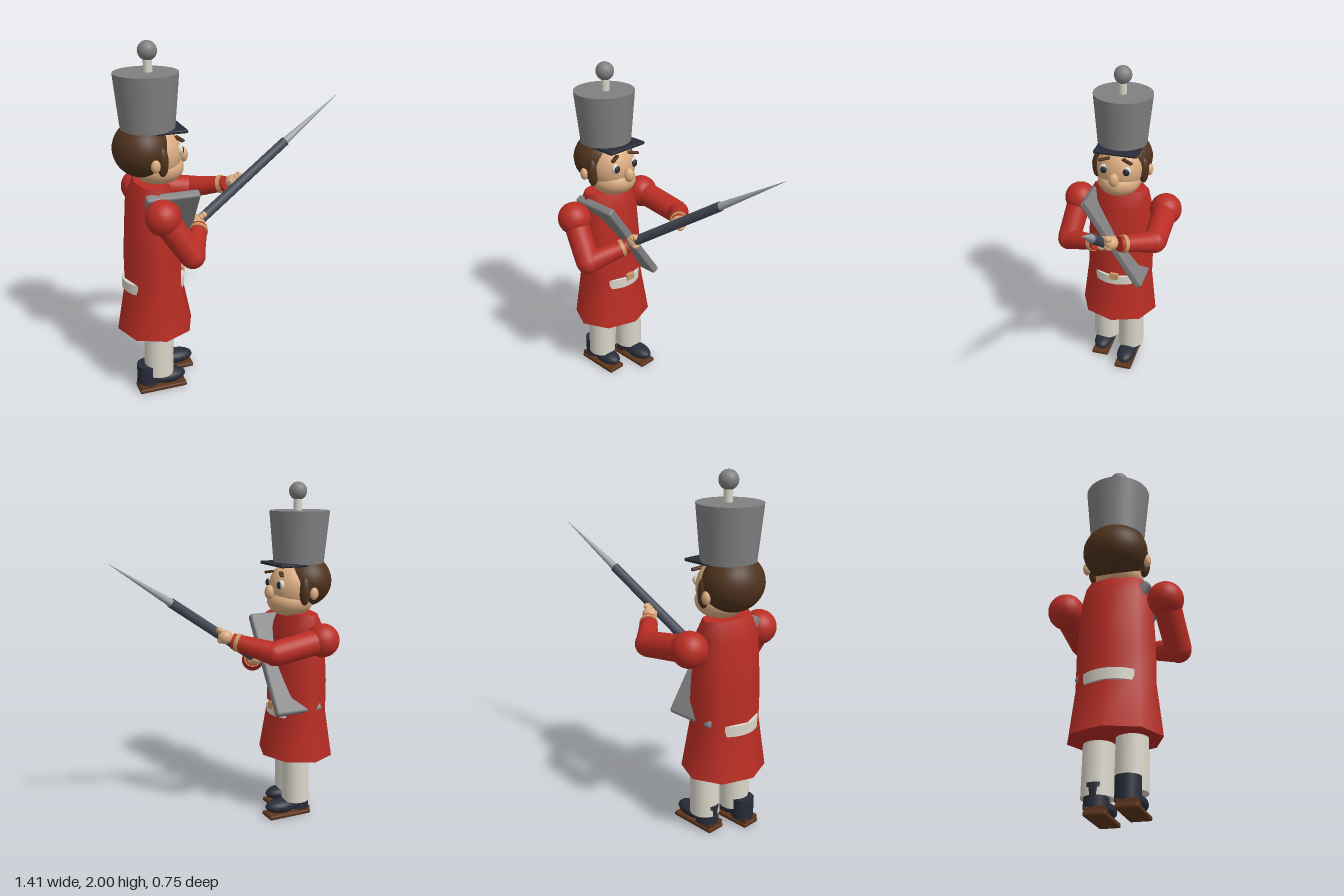
import * as THREE from 'three';
import { RoundedBoxGeometry } from 'three/addons/geometries/RoundedBoxGeometry.js';

const mat = (name, color) => {
  const m = new THREE.MeshStandardMaterial({ color });
  m.name = name;
  return m;
};

export function createModel() {
  const red = mat('coat red', 0xb92d24);
  const grey = mat('felt grey', 0x808080);
  const cream = mat('cream cloth', 0xd9d5c9);
  const skin = mat('skin', 0xdaab80);
  const brown = mat('hair brown', 0x4e321d);
  const navy = mat('dark leather', 0x282c38);
  const iron = mat('barrel iron', 0x454b57);
  const steel = mat('blade steel', 0xa3a8ad);
  const wood = mat('sole brown', 0x5c351c);
  const gold = mat('buckle tan', 0xc99862);

  const root = new THREE.Group();
  root.name = 'toySoldier';
  const V = (a) => new THREE.Vector3(...a);

  function add(name, geo, material, pos = [0, 0, 0], parent = root) {
    const m = new THREE.Mesh(geo, material);
    m.name = name;
    m.position.set(...pos);
    parent.add(m);
    return m;
  }
  const ball = (name, material, pos, rx, ry = rx, rz = rx, parent = root) => {
    const m = add(name, new THREE.SphereGeometry(1, 28, 18), material, pos, parent);
    m.scale.set(rx, ry, rz);
    return m;
  };
  // Round rod from point a (radius ra) to point b (radius rb)
  function rod(name, material, a, b, ra, rb, parent = root) {
    const d = V(b).sub(V(a));
    const mid = V(a).addScaledVector(d, 0.5);
    const m = add(name, new THREE.CylinderGeometry(rb, ra, d.length(), 24), material, mid.toArray(), parent);
    m.quaternion.setFromUnitVectors(new THREE.Vector3(0, 1, 0), d.normalize());
    return m;
  }

  // Coat: eight-sided elliptical sections [y, half depth, half width]
  const sections = [[0.376, 0.22, 0.246], [0.66, 0.167, 0.212], [0.85, 0.165, 0.212],
    [1.15, 0.143, 0.195], [1.25, 0.09, 0.17]];
  const sides = 8, pts = [], index = [];
  sections.forEach(([y, rx, rz]) => {
    for (let i = 0; i < sides; i++) {
      const t = (i / sides) * Math.PI * 2;
      pts.push(-0.489 + rx * Math.cos(t), y, rz * Math.sin(t));
    }
  });
  for (let r = 0; r < sections.length - 1; r++) {
    for (let i = 0; i < sides; i++) {
      const a = r * sides + i, b = r * sides + (i + 1) % sides;
      index.push(a, a + sides, b, b, a + sides, b + sides);
    }
  }
  const coat = new THREE.BufferGeometry();
  coat.setAttribute('position', new THREE.Float32BufferAttribute(pts, 3));
  coat.setIndex(index);
  coat.computeVertexNormals();
  add('coat', coat, red);
  const cap = (name, s, flip) => {
    const c = add(name, new THREE.CircleGeometry(1, sides), red, [-0.489, s[0], 0]);
    c.rotation.x = flip * Math.PI / 2;
    c.scale.set(s[1], s[2], 1);
  };
  cap('coatHem', sections[0], 1);
  cap('coatCollar', sections[4], -1);

  // Belt shows at the chest and back only
  const belt = add('belt', new THREE.CylinderGeometry(1, 1, 0.06, 40), cream, [-0.491, 0.66, 0]);
  belt.scale.set(0.177, 1, 0.182);
  add('buckle', new RoundedBoxGeometry(0.02, 0.045, 0.055, 2, 0.005), gold, [-0.317, 0.69, -0.005]);

  // Legs and shoes, the left one a step ahead
  for (const [side, x, z] of [['right', -0.5, 0.09], ['left', -0.445, -0.095]]) {
    const leg = new THREE.Group();
    leg.name = side + 'Leg';
    root.add(leg);
    rod('trouser', cream, [x, 0.1, z], [x + 0.01, 0.5, z], 0.084, 0.08, leg);
    const s = side === 'right' ? -0.49 : -0.39;
    add('sole', new RoundedBoxGeometry(0.28, 0.025, 0.112, 2, 0.008), wood, [s, 0.014, z + 0.008], leg);
    add('heel', new THREE.BoxGeometry(0.07, 0.025, 0.1), wood, [s - 0.1, 0.037, z + 0.008], leg);
    rod('bootShaft', navy, [s - 0.075, 0.045, z], [s - 0.075, 0.165, z], 0.064, 0.064, leg);
    ball('shoe', navy, [s + 0.04, 0.067, z + 0.005], 0.105, 0.043, 0.06, leg);
  }

  // Head
  const head = new THREE.Group();
  head.name = 'head';
  root.add(head);
  ball('hair', brown, [-0.525, 1.435, 0], 0.158, 0.155, 0.176, head);
  ball('face', skin, [-0.45, 1.4, 0], 0.142, 0.15, 0.142, head);
  ball('jaw', skin, [-0.435, 1.32, 0], 0.138, 0.092, 0.13, head);
  ball('nose', skin, [-0.295, 1.378, 0], 0.027, 0.042, 0.03, head);
  for (const s of [1, -1]) {
    ball('ear', skin, [-0.495, 1.378, s * 0.17], 0.026, 0.036, 0.02, head);
    ball('sideburn', brown, [-0.45, 1.39, s * 0.142], 0.032, 0.082, 0.032, head);
    ball('eyeWhite', cream, [-0.334, 1.425, s * 0.07], 0.018, 0.03, 0.026, head);
    ball('pupil', navy, [-0.322, 1.424, s * 0.068], 0.012, 0.022, 0.02, head);
    const brow = add('eyebrow', new RoundedBoxGeometry(0.025, 0.015, 0.07, 2, 0.006), brown,
      [-0.335, 1.487, s * 0.07], head);
    brow.rotation.set(s * 0.2, s * 0.4, 0);
  }

  // Tall hat
  const hat = new THREE.Group();
  hat.name = 'hat';
  root.add(hat);
  add('hatCrown', new THREE.CylinderGeometry(0.175, 0.147, 0.3, 40), grey, [-0.487, 1.692, 0], hat);
  add('visor', new RoundedBoxGeometry(0.17, 0.018, 0.262, 2, 0.006), navy, [-0.385, 1.538, -0.003], hat);
  rod('plumeStem', cream, [-0.474, 1.83, 0], [-0.474, 1.92, 0], 0.024, 0.024, hat);
  ball('pompom', grey, [-0.474, 1.952, 0], 0.052, 0.052, 0.052, hat);

  // Wide board strapped diagonally across the chest
  const board = add('stock', new RoundedBoxGeometry(0.3, 0.65, 0.05, 3, 0.014), grey, [-0.407, 0.945, 0]);
  board.rotation.x = Math.atan2(0.35, 0.52);

  // Barrel and bayonet share one axis
  rod('barrel', iron, [-0.217, 0.99, 0.036], [0.345, 1.37, -0.062], 0.029, 0.027);
  rod('bayonet', steel, [0.345, 1.37, -0.062], [0.704, 1.603, -0.128], 0.022, 0.001);

  // Arms: shoulder, elbow, wrist, hand
  const arms = [
    ['rightArm', [-0.49, 1.127, 0.265], [-0.345, 0.9, 0.3], [-0.235, 0.97, 0.085], [-0.228, 0.985, 0.035]],
    ['leftArm', [-0.49, 1.127, -0.28], [-0.18, 1.08, -0.285], [-0.005, 1.135, -0.115], [0.025, 1.155, -0.08]],
  ];
  for (const [name, shoulder, elbow, wrist, hand] of arms) {
    const arm = new THREE.Group();
    arm.name = name;
    root.add(arm);
    ball('shoulder', red, shoulder, 0.097, 0.097, 0.097, arm);
    rod('upperArm', red, shoulder, elbow, 0.074, 0.07, arm);
    ball('elbow', red, elbow, 0.068, 0.068, 0.068, arm);
    rod('forearm', red, elbow, wrist, 0.066, 0.044, arm);
    const along = (t) => V(elbow).lerp(V(wrist), t).toArray();
    rod('cuffBand', gold, along(0.83), along(0.92), 0.053, 0.051, arm);
    ball('hand', skin, hand, 0.043, 0.04, 0.04, arm);
    // Knuckles closed around the barrel
    for (let i = 0; i < 4; i++) {
      const t = (i - 1.5) * 0.021;
      ball('finger', skin, [hand[0] + t * 0.85 + 0.006, hand[1] + t * 0.5 + 0.024, hand[2] + 0.012], 0.016, 0.018, 0.024, arm);
    }
    ball('thumb', skin, [hand[0] + 0.025, hand[1] - 0.02, hand[2] + 0.01], 0.018, 0.018, 0.026, arm);
  }
  return root;
}
